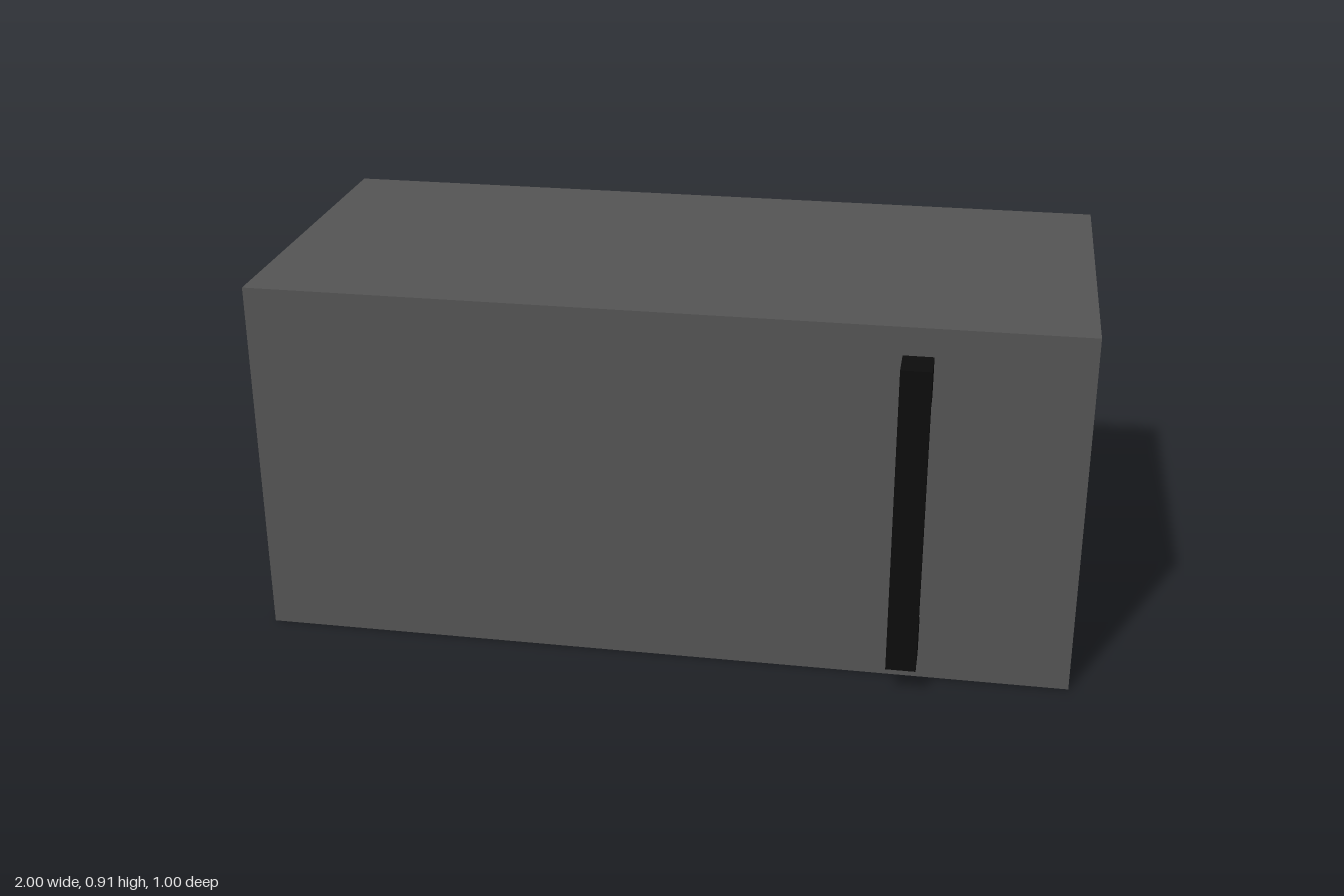
import * as THREE from 'three';

export function createModel() {
  const model = new THREE.Group();
  const bodyGrey = new THREE.MeshStandardMaterial({ color: 0x555555 });
  bodyGrey.name = 'bodyGrey';
  const handleBlack = new THREE.MeshStandardMaterial({ color: 0x0d0d0d });
  handleBlack.name = 'handleBlack';

  // Plain rectangular cabinet body
  const body = new THREE.Mesh(new THREE.BoxGeometry(2, 0.906, 0.908), bodyGrey);
  body.name = 'body';
  body.position.set(0, 0.453, -0.046);
  model.add(body);

  // Handle: C-shaped side profile, drawn as (depth from front face, height)
  const width = 0.072;
  const profile = new THREE.Shape([
    [0, 0.068], [0.09, 0.068], [0.09, 0.838], [0, 0.838],
    [0, 0.74], [0.05, 0.74], [0.05, 0.166], [0, 0.166],
  ].map(([d, y]) => new THREE.Vector2(d, y)));
  const bar = new THREE.ExtrudeGeometry(profile, { depth: width, bevelEnabled: false });
  bar.rotateY(-Math.PI / 2); // depth now runs along +z, width along -x
  const handle = new THREE.Mesh(bar, handleBlack);
  handle.name = 'handle';
  handle.position.set(0.6 + width / 2, 0, 0.41);
  model.add(handle);

  return model;
}
